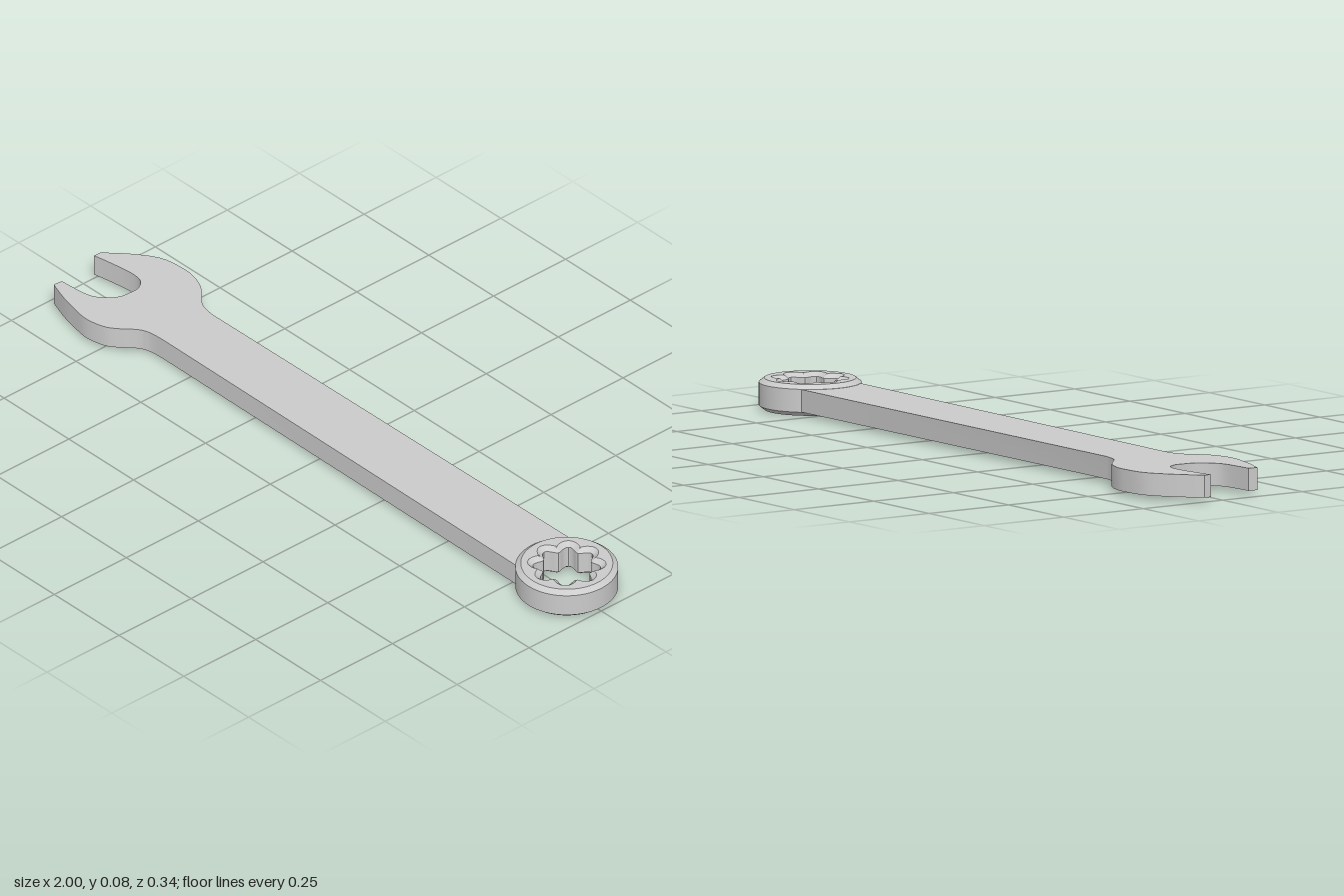
import * as THREE from 'three';
import { toCreasedNormals } from 'three/addons/utils/BufferGeometryUtils.js';

const material = new THREE.MeshStandardMaterial({ color: 0xcccccc });

// Smooth run of points through a few guide points
const smooth = (pts, n) =>
  new THREE.SplineCurve(pts.map(([x, y]) => new THREE.Vector2(x, y))).getPoints(n);

// Closed loop from a polar radius rule
const loop = (n, radius) => Array.from({ length: n }, (_, i) => {
  const a = (i / n) * Math.PI * 2;
  return new THREE.Vector2(Math.cos(a) * radius(a), Math.sin(a) * radius(a));
});

// Extrude an outline upwards so that it lies flat
function flatPart(name, shape, options) {
  const geo = new THREE.ExtrudeGeometry(shape, { bevelEnabled: false, curveSegments: 1, ...options });
  geo.rotateX(-Math.PI / 2);
  const mesh = new THREE.Mesh(toCreasedNormals(geo, 0.5), material);
  mesh.name = name;
  return mesh;
}

export function createModel() {
  const group = new THREE.Group();
  group.name = 'combinationWrench';

  // Open jaw: upper cheek, lower cheek and the rounded mouth
  const upperCheek = smooth([[-1, 0.058], [-0.976, 0.083], [-0.933, 0.122], [-0.874, 0.16], [-0.805, 0.17],
    [-0.762, 0.167], [-0.714, 0.15], [-0.676, 0.12], [-0.645, 0.096], [-0.6, 0.086]], 28);
  const lowerCheek = smooth([[-0.6, -0.086], [-0.645, -0.09], [-0.676, -0.104], [-0.714, -0.14],
    [-0.746, -0.16], [-0.8, -0.17], [-0.853, -0.162], [-0.906, -0.15], [-0.972, -0.128]], 28);
  const mouth = smooth([[-0.97, -0.102], [-0.89, -0.095], [-0.853, -0.08], [-0.82, -0.043], [-0.813, 0],
    [-0.816, 0.027], [-0.837, 0.051], [-0.88, 0.056], [-0.96, 0.045], [-1, 0.037]], 28);

  // Slightly widening handle, ending in an arc buried in the ring
  const ringX = 0.867;
  const handleEnd = [];
  for (let i = 0; i <= 8; i++) {
    const a = Math.PI + (i / 8 - 0.5) * 1.9;
    handleEnd.push(new THREE.Vector2(ringX + Math.cos(a) * 0.115, Math.sin(a) * 0.115));
  }
  const body = flatPart('handleAndOpenJaw',
    new THREE.Shape([...upperCheek, ...handleEnd, ...lowerCheek, ...mouth]), { depth: 0.059 });
  body.position.y = 0.0115;
  group.add(body);

  // Chamfered ring with a lobed socket
  const ringShape = new THREE.Shape(loop(64, () => 0.133));
  ringShape.holes.push(new THREE.Path(loop(96, (a) => 0.077 + 0.011 * Math.cos(8 * a)).reverse()));
  const ring = flatPart('ringEnd', ringShape, {
    depth: 0.06, bevelEnabled: true, bevelThickness: 0.011, bevelSize: 0.014, bevelOffset: 0, bevelSegments: 1,
    ...{ bevelOffset: -0.014 },
  });
  ring.position.set(ringX, 0.011, 0);
  group.add(ring);

  return group;
}
